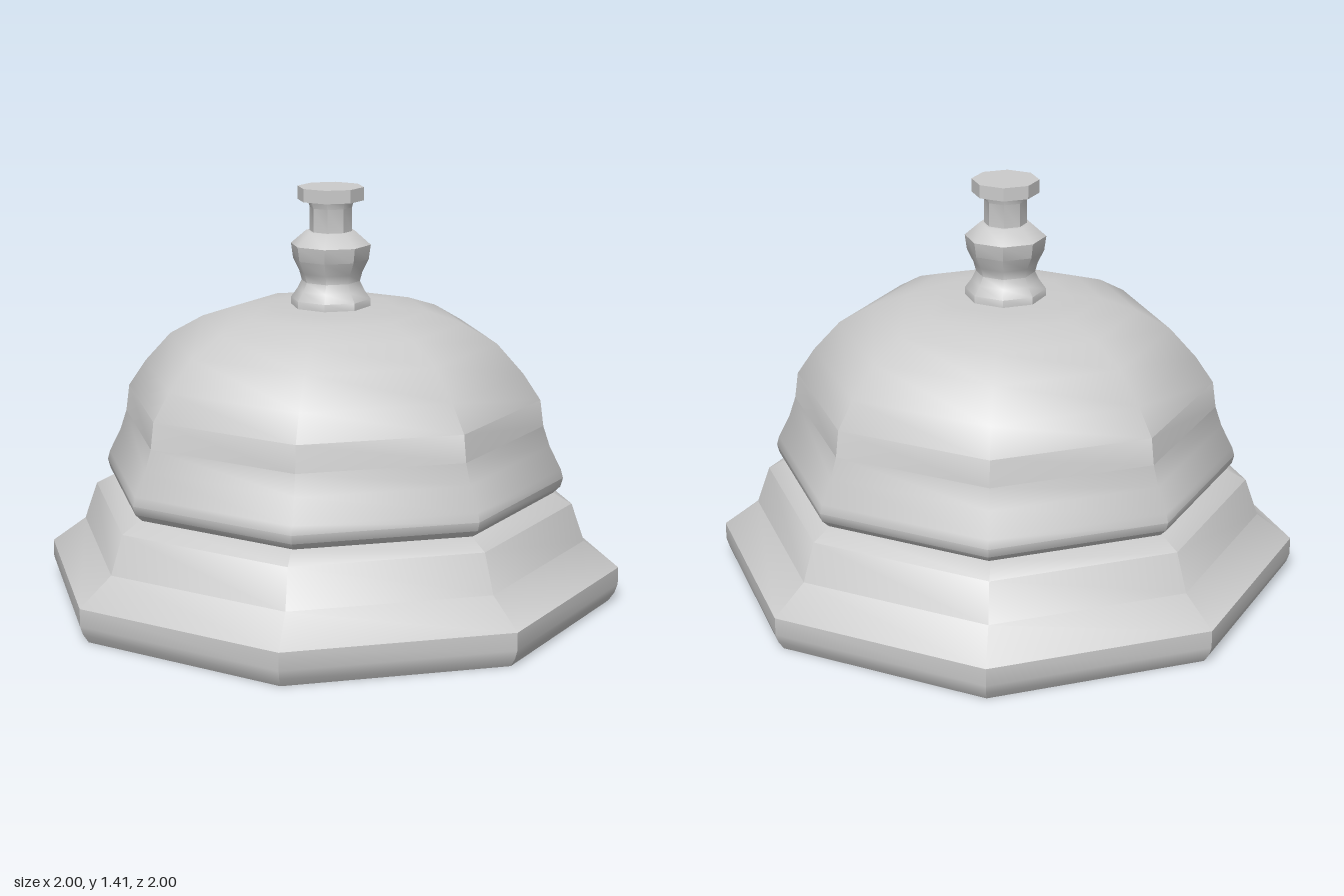
import * as THREE from 'three';
import { toCreasedNormals } from 'three/addons/utils/BufferGeometryUtils.js';

const SIDES = 8;

// Octagonal turned part; edges sharper than the crease angle stay hard
function turned(name, profile, material, crease = 0.77) {
  const points = profile.map(([r, y]) => new THREE.Vector2(r, y));
  const geometry = toCreasedNormals(new THREE.LatheGeometry(points, SIDES), crease);
  const mesh = new THREE.Mesh(geometry, material);
  mesh.name = name;
  return mesh;
}

export function createModel() {
  const group = new THREE.Group();
  group.name = 'deskBell';
  const metal = new THREE.MeshStandardMaterial({ color: 0xcccccc });
  metal.name = 'greyMetal';

  // Faceted rim and underside
  const rim = turned('baseRim', [[0, 0], [0.97, 0], [0.99, 0.03], [1, 0.06], [1, 0.12]], metal, 0.5);

  // Flared plinth under the dome
  const plinth = turned('basePlinth', [
    [1, 0.12], [0.88, 0.21], [0.835, 0.34], [0.77, 0.375], [0, 0.375],
  ], metal);

  // Bell dome with rolled lip
  const dome = turned('bellDome', [
    [0, 0.376], [0.765, 0.376], [0.79, 0.4], [0.798, 0.43], [0.79, 0.46], [0.75, 0.54],
    [0.727, 0.61], [0.715, 0.7], [0.655, 0.79], [0.565, 0.89], [0.45, 0.955],
    [0.33, 0.995], [0.22, 1.005], [0, 1.005],
  ], metal);
  dome.position.set(0.003, 0, 0.005);

  // Plunger: foot flange, waist, bulb and neck
  const plunger = turned('plunger', [
    [0.137, 1.0], [0.137, 1.03], [0.115, 1.06], [0.1, 1.09], [0.108, 1.12], [0.13, 1.165],
    [0.137, 1.215], [0.085, 1.26], [0.072, 1.26], [0.072, 1.34], [0.08, 1.365],
  ], metal);

  // Push button on top
  const button = turned('button', [[0, 1.365], [0.113, 1.365], [0.113, 1.41], [0, 1.41]], metal, 0.5);

  for (const part of [plunger, button]) part.position.set(0.006, 0, -0.005);
  group.add(rim, plinth, dome, plunger, button);
  return group;
}
